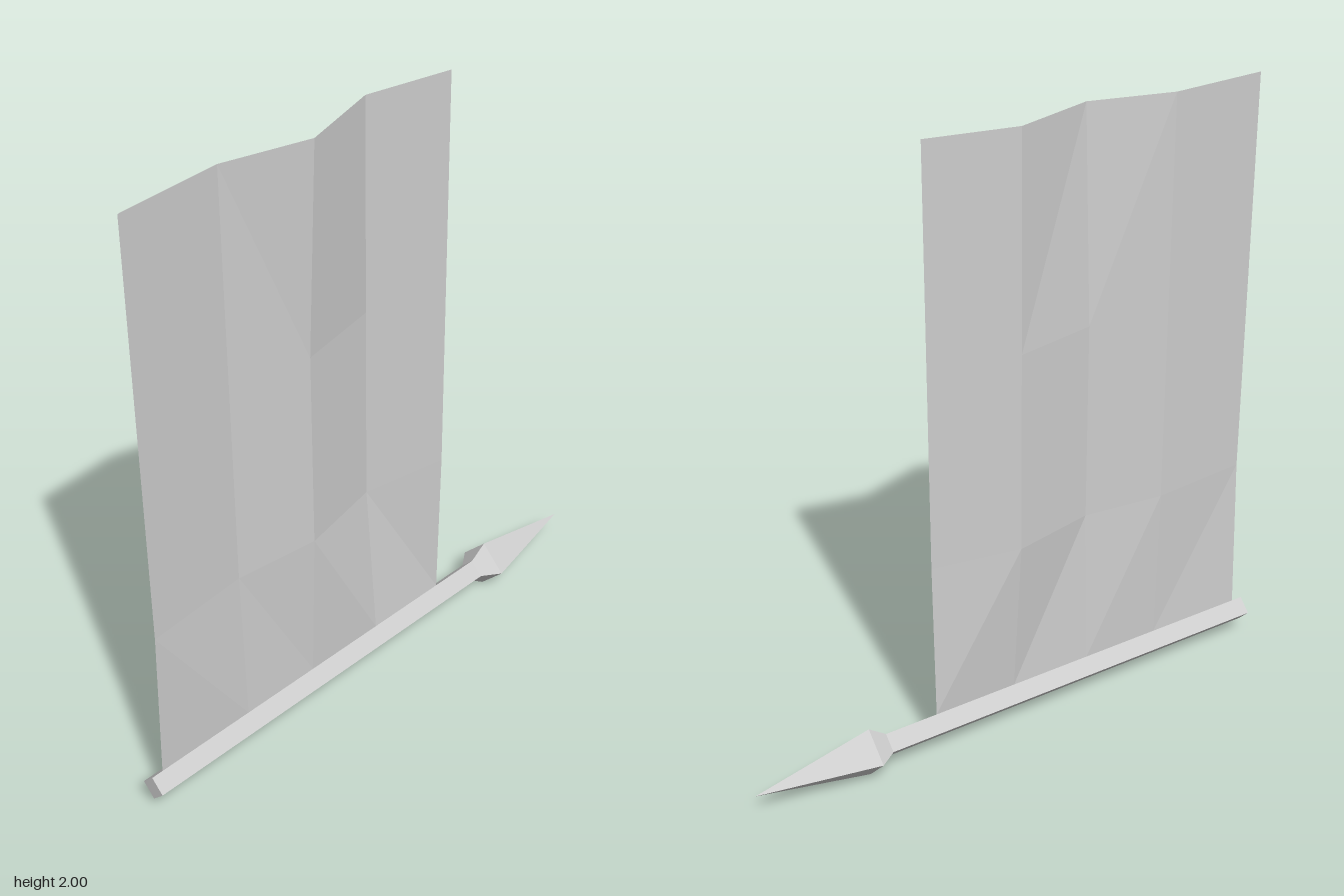
import * as THREE from 'three';

export function createModel() {
  const group = new THREE.Group();
  const grey = new THREE.MeshStandardMaterial({ color: 0xcccccc, flatShading: true, side: THREE.DoubleSide });
  grey.name = 'light grey';

  // Four-sided pole with a spear tip, turned to lie along x
  const profile = [[0, -0.95], [0.043, -0.95], [0.043, 0.49], [0.085, 0.55], [0, 0.945]];
  const poleGeo = new THREE.LatheGeometry(profile.map(([r, y]) => new THREE.Vector2(r, y)), 4);
  poleGeo.rotateZ(-Math.PI / 2);
  const pole = new THREE.Mesh(poleGeo, grey);
  pole.name = 'spearPole';
  pole.position.y = 0.085;
  group.add(pole);

  // Rippled cloth: columns across, rows from top to bottom
  const xs = [-0.91, -0.56, -0.28, 0.01, 0.305];
  const ys = [2, 1.31, 0.655, 0.128];
  const folds = [
    [0.02, -0.012, 0.055, -0.042, 0.01],
    [0.02, -0.012, 0.02, -0.042, 0.01],
    [0.02, -0.012, 0.02, -0.042, 0.01],
    [0, 0, 0, 0, 0],
  ];
  const positions = [];
  const index = [];
  ys.forEach((y, r) => xs.forEach((x, c) => positions.push(x, y, folds[r][c])));
  for (let r = 0; r < ys.length - 1; r++) {
    for (let c = 0; c < xs.length - 1; c++) {
      const tl = r * xs.length + c, tr = tl + 1;
      const bl = tl + xs.length, br = bl + 1;
      index.push(tl, bl, br, tl, br, tr);
    }
  }
  const clothGeo = new THREE.BufferGeometry();
  clothGeo.setAttribute('position', new THREE.Float32BufferAttribute(positions, 3));
  clothGeo.setIndex(index);
  clothGeo.computeVertexNormals();
  const cloth = new THREE.Mesh(clothGeo, grey);
  cloth.name = 'bannerCloth';
  group.add(cloth);

  return group;
}
